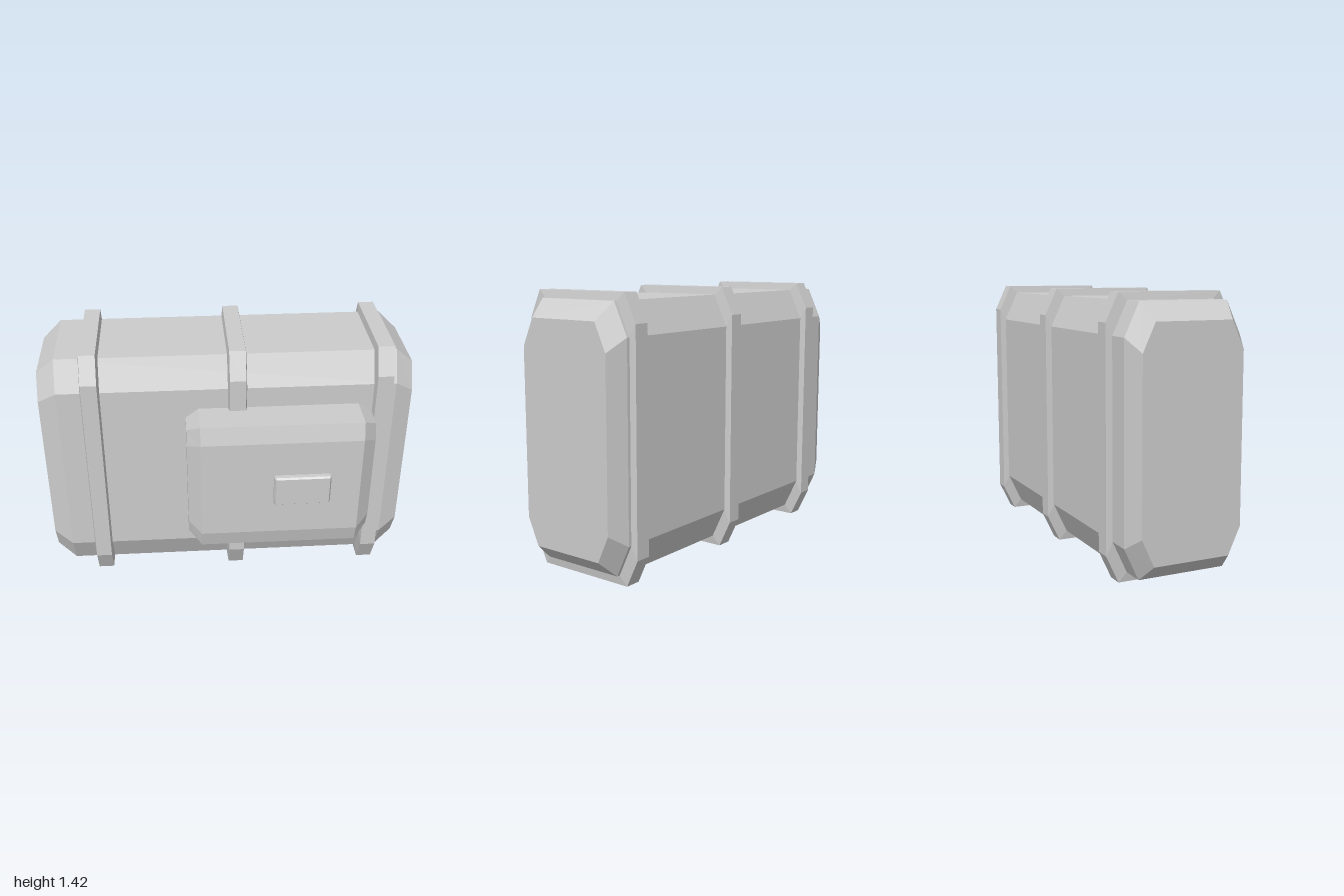
import * as THREE from 'three';

// Loft [x, ring] sections from -x to +x; each ring holds [y, z] points, flat shaded
function loft(sections, capped = true) {
  const pos = [];
  const n = sections[0][1].length;
  const put = (s, i) => pos.push(s[0], s[1][i % n][0], s[1][i % n][1]);
  for (let k = 0; k < sections.length - 1; k++) {
    const a = sections[k], b = sections[k + 1];
    for (let i = 0; i < n; i++) {
      put(a, i); put(a, i + 1); put(b, i + 1);
      put(a, i); put(b, i + 1); put(b, i);
    }
  }
  if (capped) {
    const first = sections[0], last = sections[sections.length - 1];
    for (let i = 1; i < n - 1; i++) {
      put(first, 0); put(first, i + 1); put(first, i);
      put(last, 0); put(last, i); put(last, i + 1);
    }
  }
  const geo = new THREE.BufferGeometry();
  geo.setAttribute('position', new THREE.Float32BufferAttribute(pos, 3));
  geo.computeVertexNormals();
  return geo;
}

// Rectangle with chamfered corners
function octagon(y0, y1, z0, z1, cy, cz) {
  return [
    [y0 + cy, z0], [y1 - cy, z0], [y1, z0 + cz], [y1, z1 - cz],
    [y1 - cy, z1], [y0 + cy, z1], [y0, z1 - cz], [y0, z0 + cz],
  ];
}

// Flat back, chamfered front edges
function pouchRing(y0, y1, back, front, cy, cz) {
  return [
    [y0, back], [y1, back], [y1, front - cz],
    [y1 - cy, front], [y0 + cy, front], [y0, front - cz],
  ];
}

export function createModel() {
  const group = new THREE.Group();
  const grey = new THREE.MeshStandardMaterial({ color: 0xcccccc });
  grey.name = 'grey';
  const add = (name, geo) => {
    const mesh = new THREE.Mesh(geo, grey);
    mesh.name = name;
    group.add(mesh);
  };

  // Main case with tapered ends
  const bodyRing = octagon(0.05, 1.38, -0.424, 0.2, 0.165, 0.077);
  const endRing = octagon(0.139, 1.29, -0.38, 0.159, 0.142, 0.065);
  add('body', loft([[-1, endRing], [-0.9, bodyRing], [0.9, bodyRing], [1, endRing]]));

  // Three straps around the case
  const strapOuter = octagon(0, 1.42, -0.455, 0.235, 0.143, 0.067);
  const strapInner = octagon(0.055, 1.375, -0.419, 0.195, 0.165, 0.077);
  [['rightStrap', -0.722], ['middleStrap', 0.053], ['leftStrap', 0.832]].forEach(([name, x]) => {
    add(name, loft([
      [x - 0.052, strapInner], [x - 0.043, strapOuter],
      [x + 0.043, strapOuter], [x + 0.052, strapInner],
    ], false));
  });

  // Front pocket
  const pocketRing = pouchRing(0.327, 1.1, 0.19, 0.42, 0.097, 0.025);
  const pocketEnd = pouchRing(0.38, 1.048, 0.19, 0.35, 0.085, 0.025);
  add('frontPocket', loft([
    [-0.225, pocketEnd], [-0.155, pocketRing], [0.705, pocketRing], [0.78, pocketEnd],
  ]));

  // Latch on the pocket
  const latchRing = pouchRing(0.627, 0.802, 0.41, 0.455, 0.008, 0.01);
  const latchEnd = pouchRing(0.631, 0.798, 0.41, 0.437, 0.006, 0.006);
  add('latch', loft([
    [0.234, latchEnd], [0.244, latchRing], [0.531, latchRing], [0.541, latchEnd],
  ]));

  return group;
}
